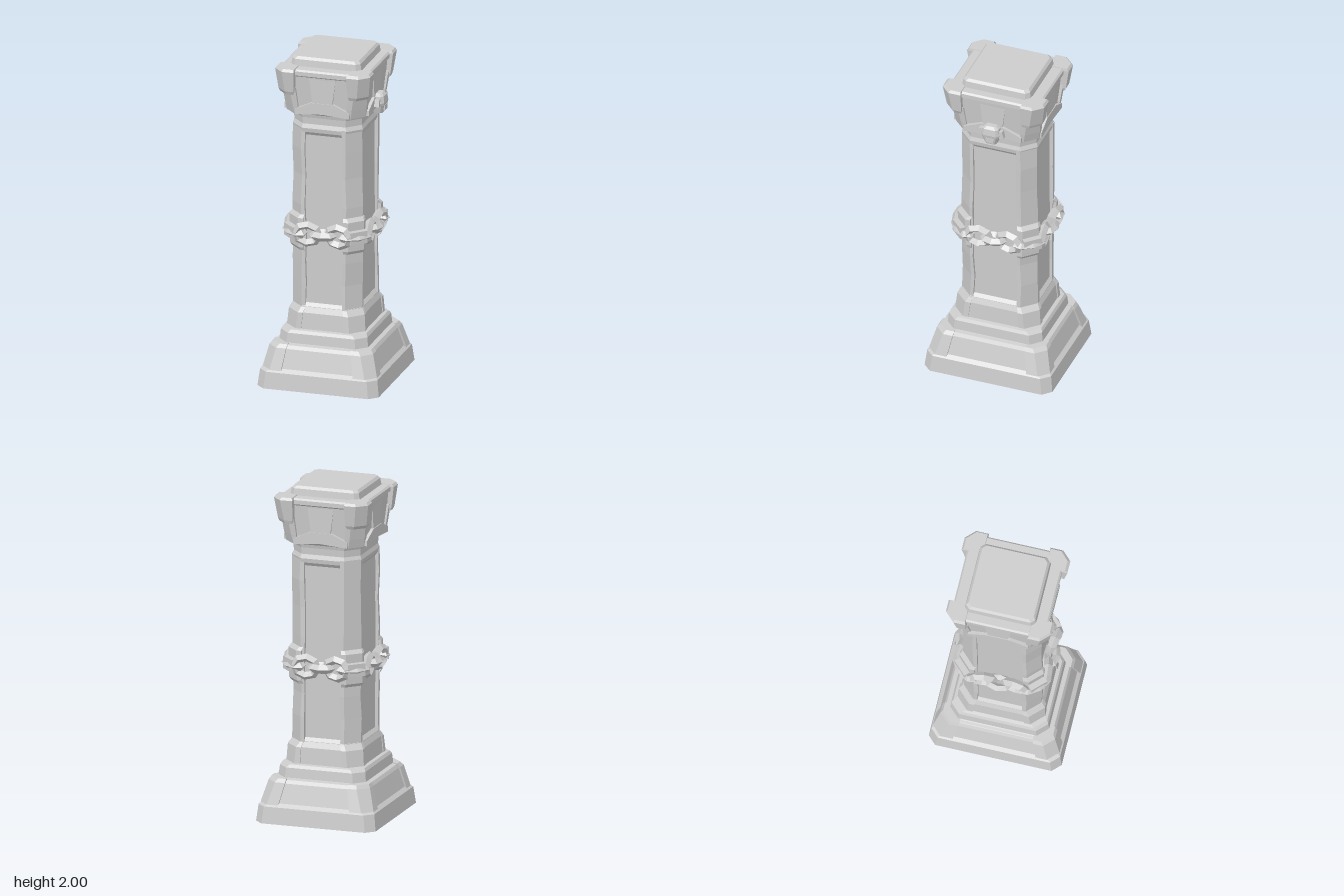
import * as THREE from 'three';

const stone = new THREE.MeshStandardMaterial({ color: 0xcccccc, side: THREE.DoubleSide });
stone.name = 'grey stone';

let seed = 7;
const jitter = (s) => {
  seed = (seed * 16807) % 2147483647;
  return (seed / 2147483647 - 0.5) * 2 * s;
};

// Faceted mesh with one normal per face
function facet(geo, name, parent) {
  const g = geo.index ? geo.toNonIndexed() : geo;
  g.computeVertexNormals();
  const m = new THREE.Mesh(g, stone);
  m.name = name;
  parent.add(m);
  return m;
}

// Joins sections { y, pts: [[x, z], ...] } into a faceted solid
function loft(sections, capTop = true, capBottom = true) {
  const pos = [];
  const n = sections[0].pts.length;
  const at = (s, i) => [s.pts[i % n][0], s.y, s.pts[i % n][1]];
  const mid = (s) => [
    s.pts.reduce((t, p) => t + p[0], 0) / n, s.y, s.pts.reduce((t, p) => t + p[1], 0) / n];
  for (let k = 0; k + 1 < sections.length; k++) {
    const lo = sections[k], hi = sections[k + 1];
    for (let i = 0; i < n; i++) {
      pos.push(...at(lo, i), ...at(lo, i + 1), ...at(hi, i));
      pos.push(...at(lo, i + 1), ...at(hi, i + 1), ...at(hi, i));
    }
  }
  const first = sections[0], last = sections[sections.length - 1];
  for (let i = 0; i < n; i++) {
    if (capTop) pos.push(...mid(last), ...at(last, i), ...at(last, i + 1));
    if (capBottom) pos.push(...mid(first), ...at(first, i + 1), ...at(first, i));
  }
  const g = new THREE.BufferGeometry();
  g.setAttribute('position', new THREE.Float32BufferAttribute(pos, 3));
  return g;
}

// Rectangle with cut corners: half width a, half depth b, corner cut c
const octagon = ([y, a, b, c]) => ({ y, pts: [
  [c - a, b], [a - c, b], [a, b - c], [a, c - b],
  [a - c, -b], [c - a, -b], [-a, c - b], [-a, b - c]] });

// Corner block reaching w inwards from the outer faces
function cornerSection([y, a, b, c, w], sx, sz) {
  const pts = [[a - w, b], [a - c, b], [a, b - c], [a, b - w], [a - w, b - w]]
    .map(([x, z]) => [x * sx, z * sz]);
  return { y, pts: sx * sz < 0 ? pts.reverse() : pts };
}

function corners(rows, name, parent, rough = 0) {
  for (const sx of [1, -1]) for (const sz of [1, -1]) {
    const worn = rows.map(([y, a, b, c, w]) =>
      cornerSection([y, a + jitter(rough), b + jitter(rough), c + jitter(rough), w + jitter(rough)], sx, sz));
    facet(loft(worn), name, parent);
  }
}

// Runs build(faceGroup, distance, halfWidth, index) for the four sides
function eachSide(a, b, name, parent, build) {
  for (let k = 0; k < 4; k++) {
    const side = new THREE.Group();
    side.name = name;
    side.rotation.y = k * Math.PI / 2;
    parent.add(side);
    build(side, k % 2 ? a : b, k % 2 ? b : a, k);
  }
}

function box(w, h, d, x, y, z, name, parent) {
  const m = facet(new THREE.BoxGeometry(w, h, d), name, parent);
  m.position.set(x, y, z);
  return m;
}

function link(rx, ry, name, parent) {
  const g = new THREE.TorusGeometry(1, 0.4, 4, 8);
  const p = g.attributes.position;
  // Keep the bar thickness even while stretching the ring
  for (let i = 0; i < p.count; i++) {
    const x = p.getX(i), y = p.getY(i), r = Math.hypot(x, y);
    const t = (r - 1) * 0.062;
    p.setXYZ(i, x / r * (rx + t), y / r * (ry + t), p.getZ(i) * 0.065);
  }
  return facet(g, name, parent);
}

export function createModel() {
  const root = new THREE.Group();
  root.name = 'pillar';
  const col = new THREE.Group();
  col.name = 'column';
  col.rotation.y = 0.6435;
  root.add(col);

  // Stepped base, hollow below
  facet(loft([
    [0, 0.398, 0.37, 0.05], [0.1, 0.386, 0.358, 0.05], [0.12, 0.362, 0.336, 0.05],
    [0.235, 0.334, 0.306, 0.055], [0.255, 0.322, 0.294, 0.055], [0.262, 0.296, 0.27, 0.06],
    [0.32, 0.29, 0.264, 0.06], [0.338, 0.28, 0.254, 0.065], [0.342, 0.258, 0.234, 0.07],
    [0.44, 0.25, 0.226, 0.075], [0.475, 0.234, 0.211, 0.078],
  ].map(octagon), true, false), 'base', col);
  facet(loft([[0.258, 0.32, 0.292, 0.05], [0.262, 0.29, 0.265, 0.05]].map(octagon)), 'baseCeiling', col);
  corners([[0.11, 0.378, 0.35, 0.058, 0.13], [0.24, 0.342, 0.314, 0.06, 0.12],
    [0.262, 0.328, 0.3, 0.06, 0.11]], 'baseCorner', col, 0.003);
  corners([[0.343, 0.264, 0.24, 0.075, 0.11], [0.44, 0.256, 0.232, 0.078, 0.11],
    [0.47, 0.238, 0.215, 0.078, 0.1]], 'footCorner', col, 0.002);

  // Shaft with recessed panels between corner posts
  facet(loft([[0.46, 0.217, 0.194, 0.07], [1.6, 0.217, 0.194, 0.07]].map(octagon)), 'shaft', col);
  const post = [0.46, 0.62, 0.76, 0.9, 1.1, 1.28, 1.44, 1.58].map((y) => [y, 0.235, 0.212, 0.078, 0.1]);
  corners(post, 'cornerPost', col, 0.004);
  facet(loft([[0.46, 0.235, 0.212, 0.078], [0.475, 0.235, 0.212, 0.078], [0.495, 0.218, 0.195, 0.07]]
    .map(octagon)), 'lowerRail', col);
  facet(loft([[1.53, 0.218, 0.195, 0.07], [1.55, 0.233, 0.21, 0.078], [1.575, 0.237, 0.214, 0.078],
    [1.6, 0.228, 0.206, 0.076], [1.64, 0.23, 0.208, 0.076], [1.68, 0.24, 0.22, 0.076]]
    .map(octagon)), 'neck', col);

  // Capital
  facet(loft([[1.66, 0.235, 0.215, 0.075], [1.675, 0.25, 0.236, 0.07], [1.72, 0.252, 0.238, 0.07],
    [1.9, 0.268, 0.256, 0.06], [1.91, 0.284, 0.27, 0.06], [1.935, 0.284, 0.27, 0.06],
    [1.945, 0.274, 0.26, 0.06]].map(octagon)), 'capital', col);
  corners([[1.665, 0.258, 0.24, 0.07, 0.09], [1.72, 0.268, 0.25, 0.07, 0.1],
    [1.83, 0.28, 0.262, 0.065, 0.1]], 'capitalBracket', col, 0.002);
  corners([[1.79, 0.288, 0.266, 0.055, 0.095], [1.81, 0.296, 0.274, 0.056, 0.11],
    [1.935, 0.316, 0.292, 0.056, 0.13], [1.95, 0.304, 0.28, 0.05, 0.115]], 'capitalHorn', col, 0.002);
  facet(loft([[1.94, 0.214, 0.214, 0.024], [1.985, 0.208, 0.208, 0.024], [2, 0.195, 0.195, 0.022]]
    .map(octagon)), 'topBlock', col);

  // Peaked band and centre slab on each side of the capital
  eachSide(0.25, 0.236, 'capitalSide', col, (side, d, hw) => {
    const e = hw - 0.07;
    const s = new THREE.Shape([[-e, 1.667], [0, 1.68], [e, 1.667], [e, 1.7], [0.07, 1.745], [-0.07, 1.745], [-e, 1.7]]
      .map(([x, y]) => new THREE.Vector2(x, y)));
    const band = facet(new THREE.ExtrudeGeometry(s, { depth: 0.03, bevelEnabled: false }), 'peakedBand', side);
    band.position.z = d - 0.008;
    const slab = new THREE.Shape([[-0.06, 1.74], [0.06, 1.74], [0.08, 1.89], [-0.08, 1.89]]
      .map(([x, y]) => new THREE.Vector2(x, y)));
    const centre = facet(new THREE.ExtrudeGeometry(slab, { depth: 0.02, bevelEnabled: false }), 'centreSlab', side);
    centre.position.z = d - 0.002;
  });

  // Carved boss on one side of the capital
  const boss = new THREE.Group();
  boss.name = 'boss';
  boss.position.z = 0.262;
  col.add(boss);
  facet(loft([[1.64, 0.035, 0.03, 0.012], [1.69, 0.05, 0.042, 0.012], [1.705, 0.055, 0.045, 0.015],
    [1.745, 0.05, 0.04, 0.015], [1.76, 0.03, 0.025, 0.01]].map(octagon)), 'bossBody', boss);
  for (const s of [1, -1]) box(0.03, 0.045, 0.05, s * 0.062, 1.71, 0, 'bossEar', boss).rotation.z = s * 0.25;
  box(0.05, 0.03, 0.012, 0, 1.672, 0.038, 'bossChin', boss);

  // Collars under the chain
  corners([[0.82, 0.24, 0.217, 0.075, 0.1], [0.84, 0.25, 0.227, 0.075, 0.105],
    [1.02, 0.253, 0.23, 0.075, 0.105], [1.04, 0.24, 0.217, 0.075, 0.1]], 'chainCollar', col, 0.002);

  // Chain around the shaft
  eachSide(0.235, 0.212, 'chainSide', col, (side, d, hw) => {
    for (const s of [1, -1]) {
      const l = link(0.068, 0.058, 'facingLink', side);
      l.position.set(s * 0.095, 0.93, d + 0.022);
      l.rotation.set(0.1, -s * 0.12, s * 0.12);
    }
    const mid = link(0.06, 0.036, 'crossLink', side);
    mid.position.set(0, 0.93, d + 0.02);
    mid.rotation.x = Math.PI / 2;
    // Link lying around the corner
    const turn = new THREE.Group();
    turn.name = 'cornerLink';
    turn.position.set(hw - 0.026, 0.93, d - 0.026);
    turn.rotation.y = Math.PI / 4;
    side.add(turn);
    link(0.09, 0.034, 'cornerLinkRing', turn).rotation.x = Math.PI / 2 + 0.12;
    box(0.11, 0.075, 0.05, 0, 0, 0.018, 'cornerLinkCore', turn);
  });

  return root;
}
